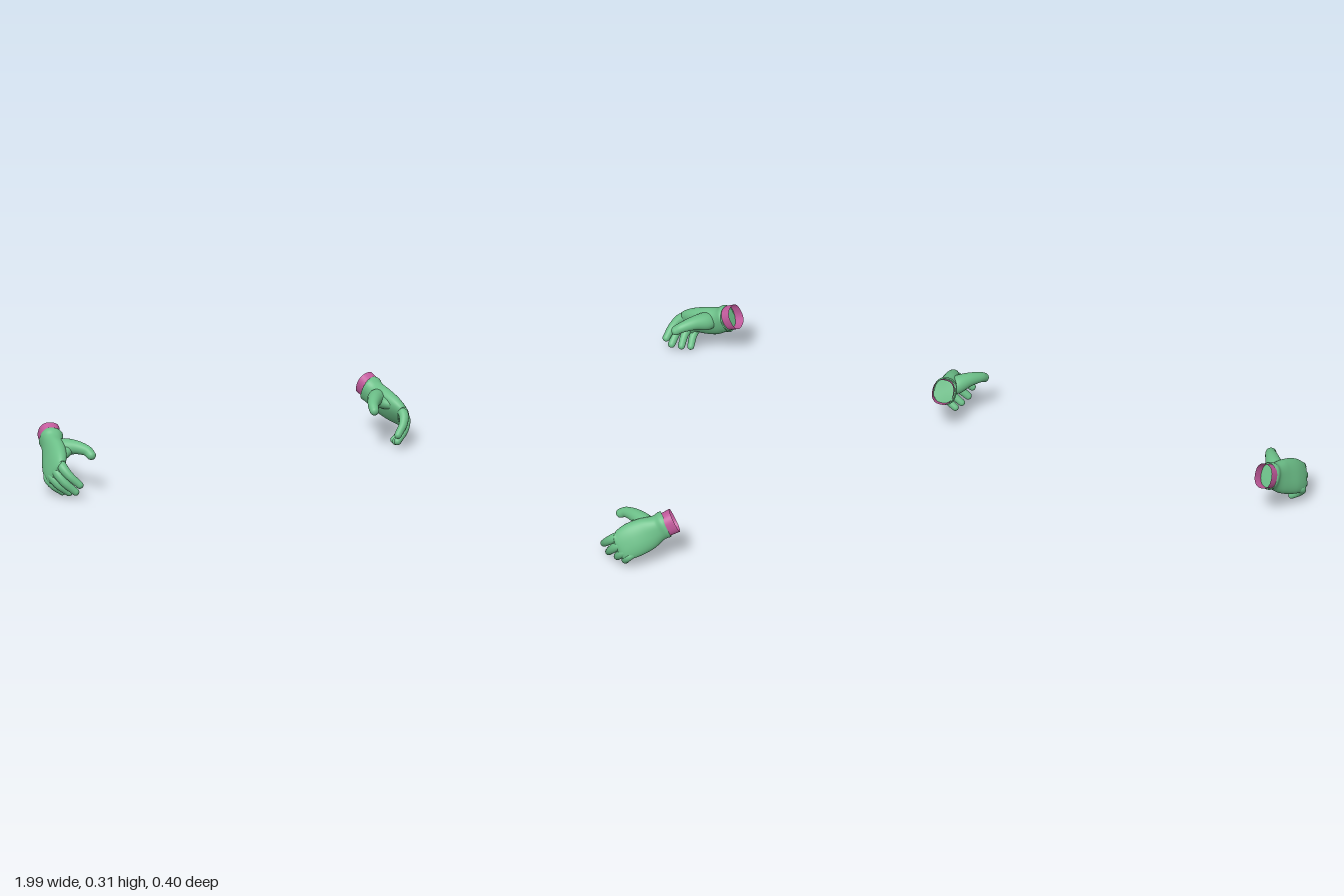
import * as THREE from 'three';

const GREEN = new THREE.MeshStandardMaterial({ color: 0x6cbf88 });
const PINK = new THREE.MeshStandardMaterial({ color: 0xc25a9c, side: THREE.DoubleSide });

// Lofts superellipse sections along a smooth path.
// Each row: [x, y, z, half width, half thickness, width direction x, y, z]
function loft(rows, side, { steps = 28, around = 28, power = 2, closed = true } = {}) {
  const curve = (f) => new THREE.CatmullRomCurve3(rows.map(f), false, 'catmullrom', 0.5);
  const path = curve((r) => new THREE.Vector3(r[0], r[1], r[2]));
  const size = curve((r) => new THREE.Vector3(r[3], r[4], 0));
  const dir = curve((r) => new THREE.Vector3(r[5], r[6], r[7]));
  const pos = [], index = [];
  let rings = 0;

  const ring = (t, angle) => {
    const T = path.getTangent(t), s = size.getPoint(t);
    const V = dir.getPoint(t).cross(T).normalize();
    const U = T.clone().cross(V);
    const c = path.getPoint(t).addScaledVector(T, s.y * Math.sin(angle));
    s.multiplyScalar(Math.cos(angle));
    for (let j = 0; j < around; j++) {
      const a = (j / around) * Math.PI * 2;
      const bend = (v) => Math.sign(v) * Math.abs(v) ** (2 / power);
      const p = c.clone().addScaledVector(U, s.x * bend(Math.cos(a))).addScaledVector(V, s.y * bend(Math.sin(a)));
      pos.push(side * p.x, p.y, p.z);
    }
    rings++;
  };
  // mirrored hands need the opposite corner order
  const tri = (a, b, c) => (side > 0 ? index.push(a, c, b) : index.push(a, b, c));

  for (let i = 0; i <= steps; i++) ring(i / steps, 0);
  if (closed) for (let k = 1; k <= 6; k++) ring(1, (k / 6) * 1.55); // rounded end

  for (let i = 0; i < rings - 1; i++) {
    for (let j = 0; j < around; j++) {
      const a = i * around + j, b = i * around + ((j + 1) % around);
      tri(a, b, a + around);
      tri(b, b + around, a + around);
    }
  }
  if (closed) {
    // flat start and the last closing fan
    const start = pos.length / 3, last = (rings - 1) * around;
    pos.push(side * rows[0][0], rows[0][1], rows[0][2]);
    for (let j = 0; j < around; j++) tri(start, (j + 1) % around, j);
    for (let j = 1; j < around - 1; j++) tri(last, last + j, last + j + 1);
  }
  const g = new THREE.BufferGeometry();
  g.setAttribute('position', new THREE.Float32BufferAttribute(pos, 3));
  g.setIndex(index);
  g.computeVertexNormals();
  return g;
}

// Back of the hand and palm, from the flared wrist edge to the knuckles
const PALM = [
  [0.873, 0.233, -0.124, 0.061, 0.051, 0, 0.88, 0.48],
  [0.875, 0.230, -0.118, 0.068, 0.058, 0, 0.88, 0.48],
  [0.884, 0.213, -0.088, 0.066, 0.050, -0.05, 0.88, 0.48],
  [0.905, 0.186, -0.035, 0.083, 0.047, -0.2, 0.86, 0.46],
  [0.932, 0.158, 0.030, 0.087, 0.042, -0.3, 0.82, 0.46],
  [0.952, 0.132, 0.078, 0.077, 0.030, -0.28, 0.74, 0.6],
  [0.948, 0.122, 0.098, 0.066, 0.020, -0.26, 0.72, 0.64],
];

// Finger paths: [x, y, z, radius]
const FINGERS = {
  indexFinger: [[0.915, 0.185, 0.05, 0.016], [0.934, 0.165, 0.112, 0.024], [0.915, 0.125, 0.155, 0.021], [0.872, 0.079, 0.182, 0.018]],
  middleFinger: [[0.935, 0.155, 0.04, 0.016], [0.953, 0.135, 0.095, 0.024], [0.932, 0.088, 0.135, 0.021], [0.882, 0.038, 0.157, 0.018]],
  ringFinger: [[0.948, 0.128, 0.02, 0.016], [0.966, 0.107, 0.068, 0.023], [0.945, 0.065, 0.100, 0.020], [0.895, 0.023, 0.111, 0.017]],
  littleFinger: [[0.955, 0.108, 0.00, 0.014], [0.974, 0.088, 0.041, 0.021], [0.953, 0.052, 0.062, 0.019], [0.908, 0.017, 0.067, 0.017]],
};
const THUMB = [
  [0.900, 0.195, -0.065, 0.024], [0.862, 0.212, -0.022, 0.044], [0.822, 0.223, 0.030, 0.035],
  [0.786, 0.216, 0.085, 0.026], [0.776, 0.199, 0.117, 0.023],
];

// Flesh filling the gap between thumb and index finger
const WEB = [
  [0.830, 0.220, 0.010, 0.032, 0.026, 0.3, 0, 1],
  [0.868, 0.202, 0.016, 0.038, 0.030, 0.3, 0, 1],
  [0.912, 0.185, 0.034, 0.046, 0.026, 0.3, 0, 1],
];

// Open wrist band
const CUFF = [
  [0.882, 0.226, -0.110, 0.058, 0.050, 0, 0.88, 0.48],
  [0.874, 0.240, -0.138, 0.059, 0.051, 0, 0.88, 0.48],
  [0.865, 0.253, -0.165, 0.061, 0.052, 0, 0.88, 0.48],
];

function buildHand(side) {
  const hand = new THREE.Group();
  hand.name = side > 0 ? 'leftHand' : 'rightHand';
  const add = (name, geometry, material) => {
    const mesh = new THREE.Mesh(geometry, material);
    mesh.name = name;
    hand.add(mesh);
  };
  const round = (rows, u) => rows.map(([x, y, z, r]) => [x, y, z, r, r, ...u]);

  add('palm', loft(PALM, side, { steps: 48, around: 40, power: 2.3 }), GREEN);
  for (const [name, rows] of Object.entries(FINGERS)) {
    add(name, loft(round(rows, [0, 0.4, 0.9]), side), GREEN);
  }
  add('thumb', loft(round(THUMB, [0, 1, 0]), side), GREEN);
  add('thumbWeb', loft(WEB, side), GREEN);
  add('cuff', loft(CUFF, side, { steps: 6, around: 40, power: 2.4, closed: false }), PINK);
  return hand;
}

export function createModel() {
  const model = new THREE.Group();
  model.name = 'pairOfHands';
  model.add(buildHand(1), buildHand(-1));
  return model;
}
